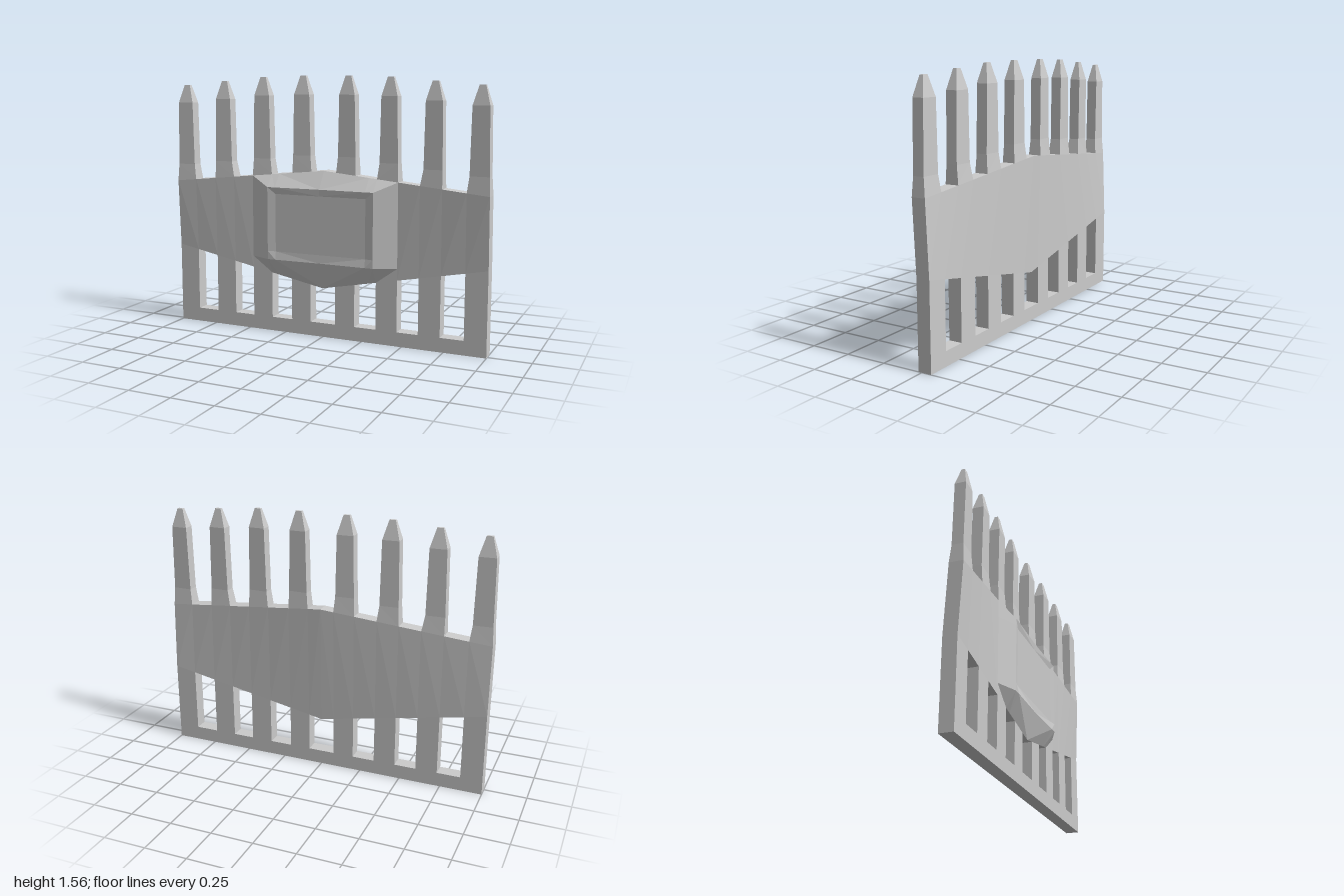
import * as THREE from 'three';

const material = new THREE.MeshStandardMaterial({ color: 0xcccccc, flatShading: true });

// Collects quads for the +x half and mirrors each one to -x.
function makePart(name, build) {
  const pos = [];
  const tri = (...pts) => pts.forEach((p) => pos.push(...p));
  const quad = (a, b, c, d) => {
    tri(a, b, c, a, c, d);
    const [e, f, g, h] = [a, b, c, d].map(([x, y, z]) => [-x, y, z]);
    tri(e, g, f, e, h, g);
  };
  build(quad);
  const geometry = new THREE.BufferGeometry();
  geometry.setAttribute('position', new THREE.Float32BufferAttribute(pos, 3));
  geometry.computeVertexNormals();
  const mesh = new THREE.Mesh(geometry, material);
  mesh.name = name;
  return mesh;
}

// Sloping edges of the band
const bandLow = (x) => 0.3 + 0.195 * x;
const bandTop = (x) => 1.005 - 0.098 * x;

// Depth of the panel at each level: the top bows backward in the middle
const levels = {
  base: () => [0.02, -0.06],
  bandTop: (x) => [0.002 + 0.036 * x, -0.077 + 0.034 * x],
  spike: (x) => [-0.004 + 0.035 * x, -0.069 + 0.035 * x],
  tip: (x) => [-0.026 + 0.035 * x, -0.046 + 0.035 * x],
};

// Horizontal cross-section: front inner, front outer, back outer, back inner
function section(x0, x1, y0, y1, level) {
  const [f0, b0] = levels[level](x0), [f1, b1] = levels[level](x1);
  return [[x0, y0, f0], [x1, y1, f1], [x1, y1, b1], [x0, y0, b0]];
}

// Block between two sections; only the listed end faces are closed
function block(quad, lo, hi, faces = '') {
  quad(lo[0], lo[1], hi[1], hi[0]);
  quad(lo[2], lo[3], hi[3], hi[2]);
  if (faces.includes('outer')) quad(lo[1], lo[2], hi[2], hi[1]);
  if (faces.includes('inner')) quad(lo[3], lo[0], hi[0], hi[3]);
  if (faces.includes('top')) quad(hi[0], hi[1], hi[2], hi[3]);
  if (faces.includes('bottom')) quad(lo[3], lo[2], lo[1], lo[0]);
}

export function createModel() {
  const group = new THREE.Group();
  group.name = 'spikedFence';

  // Column edges from the middle outward: gap, bar, gap, bar ...
  const edges = [0, 0.08, 0.205, 0.34, 0.47, 0.6, 0.73, 0.87, 1];
  const columns = edges.slice(1).map((x1, i) => ({ x0: edges[i], x1, bar: i % 2 === 1 }));
  const bars = columns.filter((c) => c.bar);
  const railTop = 0.085;

  // Rail along the ground
  group.add(makePart('bottomRail', (quad) => {
    for (const { x0, x1, bar } of columns) {
      block(quad, section(x0, x1, 0, 0, 'base'), section(x0, x1, railTop, railTop, 'base'),
        'bottom' + (bar ? '' : ' top') + (x1 === 1 ? ' outer' : ''));
    }
  }));

  // Wide band with sloping edges
  group.add(makePart('band', (quad) => {
    for (const { x0, x1, bar } of columns) {
      block(quad, section(x0, x1, bandLow(x0), bandLow(x1), 'base'),
        section(x0, x1, bandTop(x0), bandTop(x1), 'bandTop'),
        (bar ? '' : 'top bottom') + (x1 === 1 ? ' outer' : ''));
    }
  }));

  // Upright bars between rail and band
  group.add(makePart('bars', (quad) => {
    for (const { x0, x1 } of bars) {
      block(quad, section(x0, x1, railTop, railTop, 'base'),
        section(x0, x1, bandLow(x0), bandLow(x1), 'base'), 'inner outer');
    }
  }));

  // Pointed spikes: flared foot, shaft, blunt tip
  const tips = [1.56, 1.553, 1.53, 1.507];
  group.add(makePart('spikes', (quad) => {
    bars.forEach(({ x0, x1 }, i) => {
      const c = [0.145, 0.408, 0.673, 0.938][i];
      const tip = tips[i], shoulder = tip - 0.11, neck = bandTop(c) + 0.1;
      const rows = [
        section(x0, x1, bandTop(x0), bandTop(x1), 'bandTop'),
        section(c - 0.056, c + 0.056, neck, neck, 'spike'),
        section(c - 0.049, c + 0.049, shoulder, shoulder, 'spike'),
        section(c - 0.018, c + 0.018, tip, tip, 'tip'),
      ];
      for (let r = 0; r < 3; r++) {
        block(quad, rows[r], rows[r + 1], 'inner outer' + (r === 2 ? ' top' : ''));
      }
    });
  }));

  // Raised, bevelled plate with a slightly sunken middle
  group.add(makePart('frontPlate', (quad) => {
    const xs = [0, 0.29, 0.34, 0.47];
    const bandFront = (x, y) => {
      const t = (y - bandLow(x)) / (bandTop(x) - bandLow(x));
      return THREE.MathUtils.lerp(levels.base(x)[0], levels.bandTop(x)[0], t);
    };
    const point = (i, j) => {
      const x = xs[i];
      const y = [bandLow(x), 0.46, 0.51, 0.86, 0.9, bandTop(x)][j];
      const border = i === 3 || j === 0 || j === 5;
      const sunken = i < 2 && (j === 2 || j === 3);
      const z = border ? bandFront(x, y) : sunken ? 0.067 : i === 0 ? 0.07 : 0.076;
      return [x, y, z];
    };
    for (let i = 0; i < 3; i++) {
      for (let j = 0; j < 5; j++) {
        quad(point(i, j), point(i + 1, j), point(i + 1, j + 1), point(i, j + 1));
      }
    }
  }));

  return group;
}
